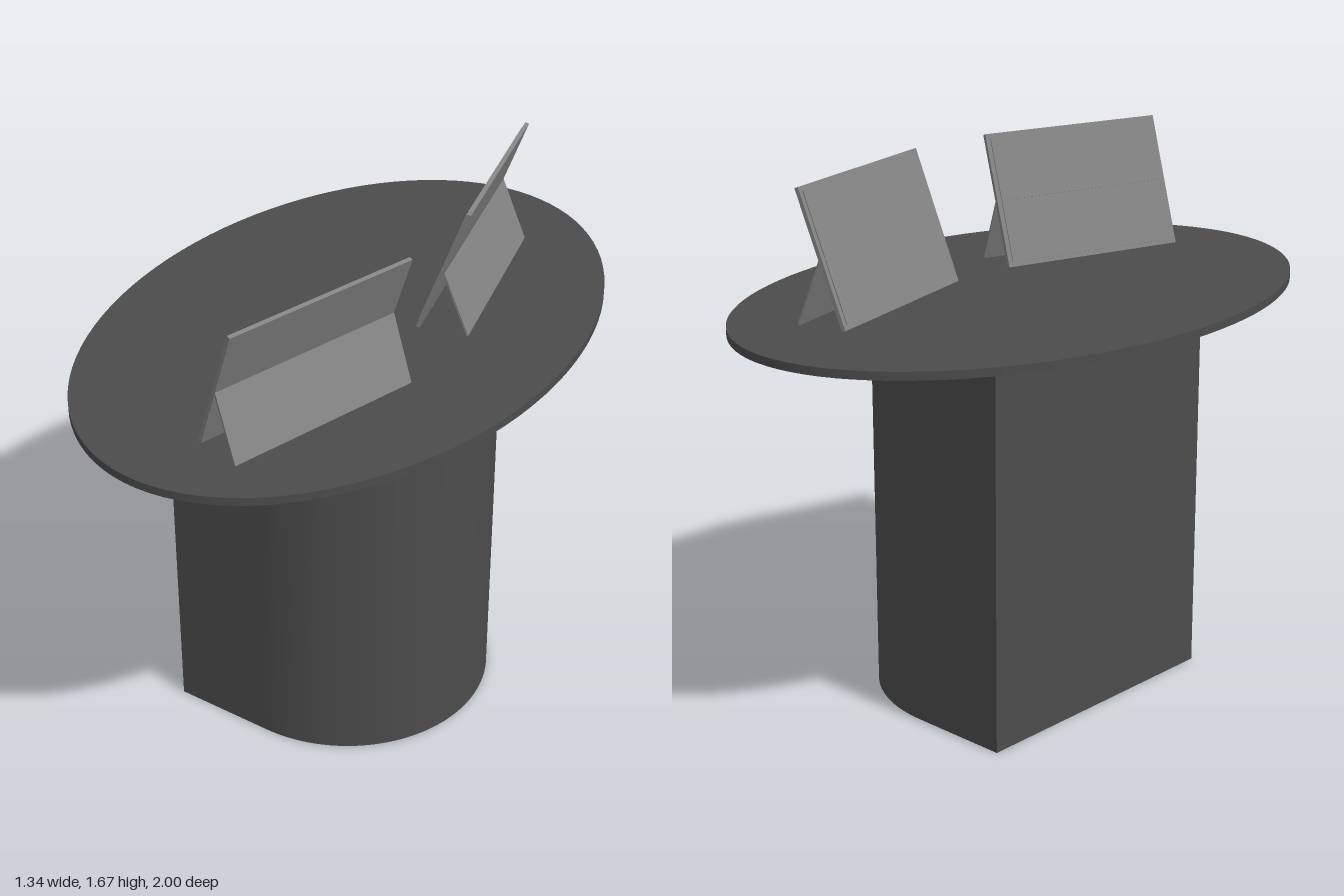
import * as THREE from 'three';

const dark = new THREE.MeshStandardMaterial({ name: 'charcoal', color: 0x4c4c4c });
const grey = new THREE.MeshStandardMaterial({ name: 'panelGrey', color: 0x838383 });

// Flat plate whose cross-section runs from point a to point b in the x-y plane
function plate(name, a, b, thickness, length, offset = 0) {
  const dx = b[0] - a[0], dy = b[1] - a[1];
  const mesh = new THREE.Mesh(
    new THREE.BoxGeometry(thickness, Math.hypot(dx, dy), length), grey);
  mesh.name = name;
  mesh.position.set((a[0] + b[0]) / 2, (a[1] + b[1]) / 2, 0);
  mesh.rotation.z = Math.atan2(-dx, dy);
  mesh.translateX(offset);
  return mesh;
}

// Leaning double panel with a short prop leg behind it
function makeStand(name, z, angle) {
  const stand = new THREE.Group();
  stand.name = name;
  const length = 0.635, bottom = [0.006, 0.002], top = [0.15, 0.397];
  const along = t => [
    bottom[0] + (top[0] - bottom[0]) * t,
    bottom[1] + (top[1] - bottom[1]) * t];
  stand.add(plate('panelBoard', bottom, top, 0.012, length));
  // two slightly raised faces with a groove between them
  for (const [label, from, to] of [['lowerFace', 0.035, 0.488], ['upperFace', 0.5, 0.965]]) {
    stand.add(plate(label, along(from), along(to), 0.004, length - 0.03, -0.007));
  }
  stand.add(plate('propLeg', [0.158, 0.001], [0.08, 0.197], 0.006, length));
  stand.position.set(0.107, 1.268, z);
  stand.rotation.y = angle;
  return stand;
}

export function createModel() {
  const model = new THREE.Group();
  model.name = 'table';

  // D-shaped pedestal: flat at -x, half round at +x
  const r = 0.455, flat = -0.327;
  const outline = new THREE.Shape();
  outline.moveTo(flat, -r);
  outline.lineTo(0, -r);
  outline.absarc(0, 0, r, -Math.PI / 2, Math.PI / 2, false);
  outline.lineTo(flat, r);
  outline.closePath();
  const pedestal = new THREE.Mesh(
    new THREE.ExtrudeGeometry(outline, { depth: 1.246, bevelEnabled: false, curveSegments: 40 }), dark);
  pedestal.name = 'pedestal';
  pedestal.rotation.x = -Math.PI / 2;
  model.add(pedestal);

  // Thin oval top
  const tabletop = new THREE.Mesh(new THREE.CylinderGeometry(1, 1, 0.025, 96), dark);
  tabletop.name = 'tabletop';
  tabletop.scale.x = 0.67;
  tabletop.position.y = 1.2565;
  model.add(tabletop);

  // Two stands turned towards each other
  const tilt = THREE.MathUtils.degToRad(15);
  model.add(makeStand('frontStand', 0.453, -tilt), makeStand('backStand', -0.385, tilt));
  return model;
}
